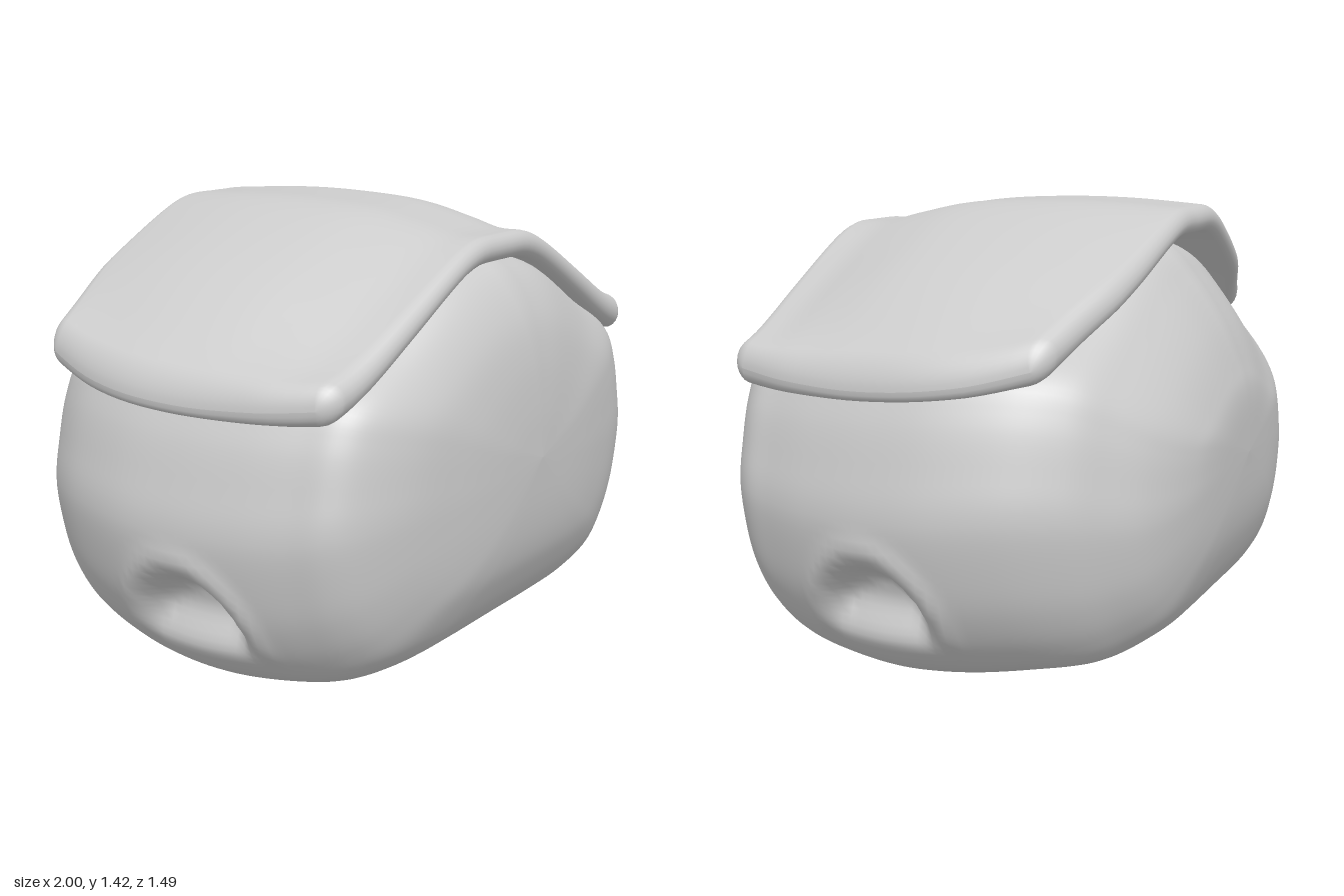
import * as THREE from 'three';

const clamp01 = v => Math.min(1, Math.max(0, v));
const smooth = v => { v = clamp01(v); return v * v * (3 - 2 * v); };

// smooth curve through rows sorted by their first number; returns one column
function curve(rows, x, col = 1) {
  const n = rows.length - 1;
  x = Math.min(rows[n][0], Math.max(rows[0][0], x));
  let i = 0;
  while (i < n - 1 && x > rows[i + 1][0]) i++;
  const slope = k => {
    const a = rows[Math.max(0, k - 1)], b = rows[Math.min(n, k + 1)];
    return (b[col] - a[col]) / (b[0] - a[0]);
  };
  const p = rows[i], q = rows[i + 1], h = q[0] - p[0], t = (x - p[0]) / h;
  const t2 = t * t, t3 = t2 * t;
  return (2 * t3 - 3 * t2 + 1) * p[col] + (t3 - 2 * t2 + t) * h * slope(i)
    + (3 * t2 - 2 * t3) * q[col] + (t3 - t2) * h * slope(i + 1);
}

// skin closed loops of equal length into one smooth surface
function loft(loops) {
  const m = loops[0].length, index = [];
  for (let i = 0; i < loops.length - 1; i++) {
    for (let j = 0; j < m; j++) {
      const a = i * m + j, b = i * m + (j + 1) % m, c = a + m, d = b + m;
      index.push(a, c, b, b, c, d);
    }
  }
  const g = new THREE.BufferGeometry();
  g.setAttribute('position', new THREE.Float32BufferAttribute(loops.flat(2), 3));
  g.setIndex(index);
  g.computeVertexNormals();
  return g;
}

// body stations from front to back: z, half width, bottom, top
const STATIONS = [
  [.745, 0, .66, .66], [.735, .25, .48, .82], [.715, .45, .36, .97], [.68, .64, .27, 1.09],
  [.62, .79, .165, 1.19], [.55, .87, .10, 1.25], [.45, .91, .045, 1.28], [.3, .955, .015, 1.3],
  [.1, .99, 0, 1.32], [-.1, .995, .015, 1.33], [-.3, .95, .045, 1.32], [-.45, .87, .07, 1.28],
  [-.55, .78, .12, 1.18], [-.64, .67, .2, 1.05], [-.7, .52, .33, .92], [-.73, .33, .46, .82],
  [-.74, 0, .64, .64],
].map((r, i) => [i, ...r]);

// right half of the body's cross-section, bottom to top
const SECTION = [
  [0, -1], [.3, -1], [.52, -.985], [.73, -.91], [.85, -.74], [.93, -.52], [.975, -.28], [1, 0],
  [.975, .2], [.93, .4], [.85, .55], [.62, .7], [.3, .92], [0, 1],
].map((r, i) => [i, ...r]);

function bodyGeometry() {
  const loops = [], half = 72, rings = 112, last = SECTION.length - 1;
  for (let i = 0; i <= rings; i++) {
    const t = i / rings * (STATIONS.length - 1);
    const [z, w, lo, hi] = [1, 2, 3, 4].map(c => curve(STATIONS, t, c));
    const mid = lo + .42 * (hi - lo), loop = [];
    for (let j = 0; j < 2 * half; j++) {
      const side = j <= half ? 1 : -1;
      const k = (j <= half ? j : 2 * half - j) / half * last;
      const v = curve(SECTION, k, 2);
      const y = mid + v * (v < 0 ? mid - lo : hi - mid);
      let x = w * curve(SECTION, k, 1);
      // arched scoop in each flank, running out to a ledge at the bottom
      const r = Math.hypot((z - .1) / .2, (y - .2) / .25);
      if (x > .6) {
        x -= .11 * smooth((1 - r) / .35) * smooth((y - .15) / .17);
        x += .012 * Math.exp(-(((r - 1.12) / .12) ** 2)) * smooth((y - .13) / .1);
      }
      loop.push([side * x, y, z]);
    }
    loops.push(loop);
  }
  return loft(loops);
}

// roof: ridge profile across, plan outline and fore-and-aft lift
const RIDGE = [[0, 1.292], [.16, 1.287], [.3, 1.247], [.58, 1.12], [.85, .99], [1, .935]];
const WIDTH = [[-.57, .84], [-.43, .9], [-.2, .965], [0, .98], [.35, .935], [.5, .895], [.6, .86]];
const LIFT = [[-.57, .062], [-.28, .08], [-.05, .08], [.18, .065], [.35, .03], [.48, 0], [.6, 0]];
const EDGE = [[-.5, .1], [-.42, .08], [-.2, .025], [.1, -.005], [.35, 0], [.6, .025]];
const BACK = [[0, -.57], [.3, -.56], [.65, -.525], [.85, -.47], [1, -.43]];

function roofGeometry() {
  const stations = [], rim = .055, span = 48, cap = 7, n = 22;
  // sweep from left to right, with the thickness rounded off at both ends
  for (let k = 0; k < cap; k++) {
    const a = k / cap * Math.PI / 2;
    stations.push([1 - rim + rim * Math.cos(a), Math.sin(a)]);
  }
  for (let k = 0; k <= span; k++) stations.push([(1 - rim) * (1 - 2 * k / span), 1]);
  for (let k = cap - 1; k >= 0; k--) stations.push([-stations[k][0], stations[k][1]]);

  return loft(stations.map(([s, f]) => {
    const u = Math.abs(s);
    const r = (.041 + .02 * u * u) * f;
    const front = .605 - .02 * u ** 4 - .05 * (1 - f);
    const back = curve(BACK, u) + .04 * (1 - f);
    const outline = [];
    for (let k = 0; k < n; k++) outline.push([r, back + r + (front - back - 2 * r) * k / n]);
    for (let k = 0; k < 10; k++) {
      const a = k / 10 * Math.PI;
      outline.push([r * Math.cos(a), front - r + r * Math.sin(a)]);
    }
    for (let k = 0; k < n; k++) outline.push([-r, front - r + (back - front + 2 * r) * k / n]);
    for (let k = 0; k < 10; k++) {
      const a = k / 10 * Math.PI;
      outline.push([-r * Math.cos(a), back + r - r * Math.sin(a)]);
    }
    return outline.map(([dy, z]) => {
      const lift = curve(LIFT, z), e = u ** 4;
      const bulge = .35 * lift * Math.sin(Math.PI * u * u);
      const y = curve(RIDGE, u) + lift * (1 - e) + curve(EDGE, z) * e + bulge + dy;
      return [s * curve(WIDTH, z), y, z];
    });
  }));
}

export function createModel() {
  const group = new THREE.Group();
  const material = new THREE.MeshStandardMaterial({ color: 0xcccccc });
  const add = (name, geometry) => {
    const mesh = new THREE.Mesh(geometry, material);
    mesh.name = name;
    group.add(mesh);
  };
  add('body', bodyGeometry());
  add('roof', roofGeometry());
  return group;
}
